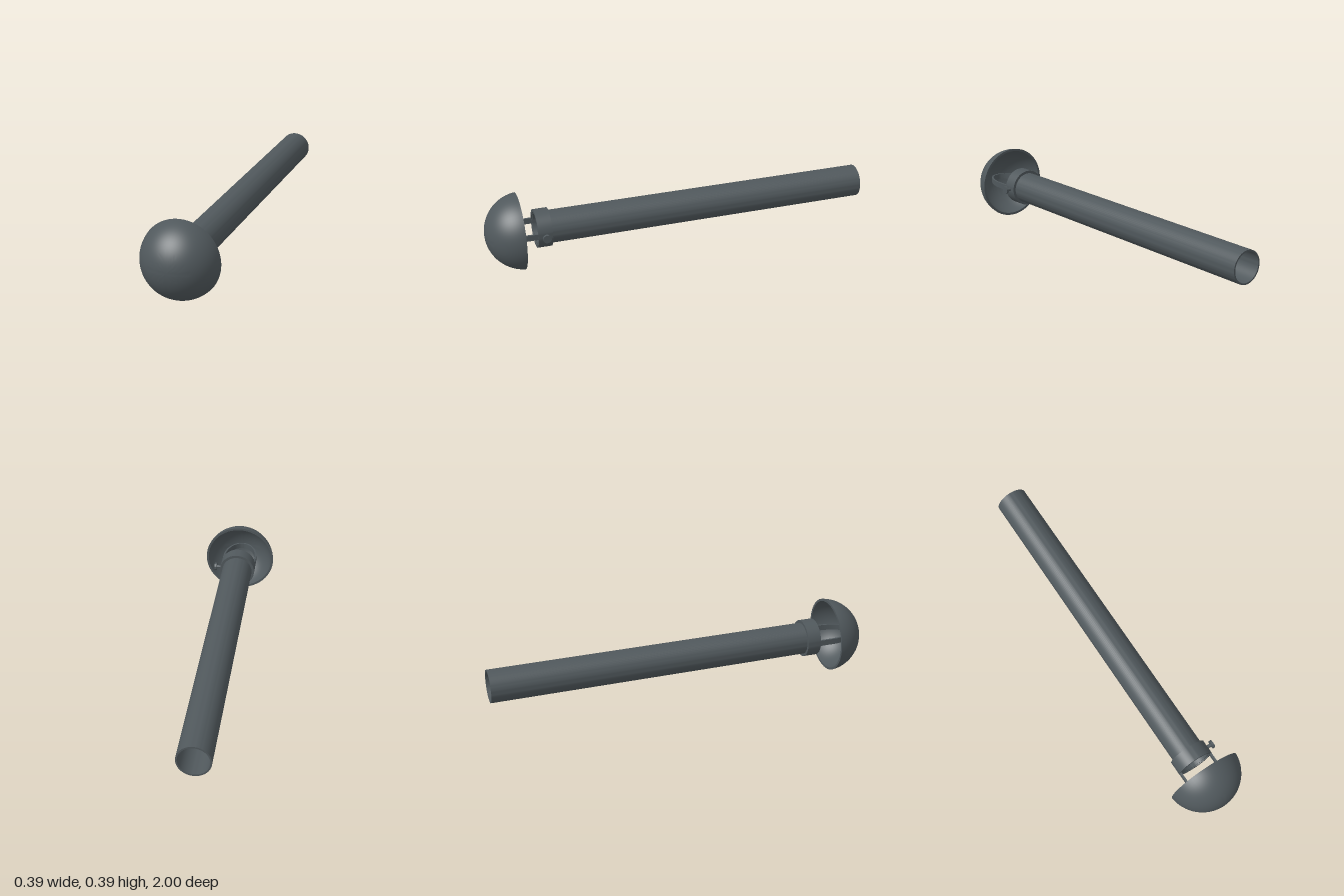
import * as THREE from 'three';
import { toCreasedNormals } from 'three/addons/utils/BufferGeometryUtils.js';

const CY = 0.193; // height of the pipe axis
const material = new THREE.MeshStandardMaterial({ color: 0x50585c, side: THREE.DoubleSide });

function addMesh(group, name, geometry) {
  const mesh = new THREE.Mesh(toCreasedNormals(geometry, 0.6), material);
  mesh.name = name;
  group.add(mesh);
  return mesh;
}

// Surface of revolution about the z axis from [radius, z] points
function turned(profile, segments = 64) {
  const points = profile.map(([r, z]) => new THREE.Vector2(r, z));
  return new THREE.LatheGeometry(points, segments).rotateX(Math.PI / 2);
}

// Hollow tube between two z positions
function sleeve(outer, inner, z0, z1) {
  return turned([[inner, z0], [outer, z0], [outer, z1], [inner, z1], [inner, z0]]);
}

// Points of a spherical cap from rim to crown
function capArc(rim, z0, z1, steps = 20) {
  const h = z1 - z0;
  const R = (rim * rim + h * h) / (2 * h);
  const start = Math.acos((R - h) / R);
  return Array.from({ length: steps + 1 }, (_, i) => {
    const a = start * (1 - i / steps);
    return [Math.max(R * Math.sin(a), 0), z1 - R + R * Math.cos(a)];
  });
}

export function createModel() {
  const model = new THREE.Group();
  model.name = 'ventPipeWithCowl';
  const body = new THREE.Group();
  body.name = 'body';
  body.position.y = CY;
  model.add(body);

  // Long open pipe and the clamp collar at its front end
  addMesh(body, 'pipe', sleeve(0.083, 0.075, -1, 0.745));
  addMesh(body, 'collar', sleeve(0.097, 0.083, 0.678, 0.75));

  // Hollow domed cap
  const outer = capArc(0.193, 0.825, 1);
  const inner = capArc(0.181, 0.825, 0.985).reverse();
  addMesh(body, 'domeCap', turned([...outer, ...inner, outer[0]]));

  // Hoop strap: straight arms from the collar, joined by an arch inside the dome
  const strap = new THREE.Shape();
  strap.moveTo(0.095, 0.7);
  strap.lineTo(0.095, 0.82);
  strap.absellipse(0, 0.82, 0.095, 0.162, 0, Math.PI, false);
  strap.lineTo(-0.095, 0.7);
  strap.lineTo(-0.085, 0.7);
  strap.lineTo(-0.085, 0.82);
  strap.absellipse(0, 0.82, 0.085, 0.152, Math.PI, 0, true);
  strap.lineTo(0.085, 0.7);
  const strapGeometry = new THREE.ExtrudeGeometry(strap, { depth: 0.03, bevelEnabled: false, curveSegments: 24 });
  strapGeometry.translate(0, 0, -0.015).rotateX(Math.PI / 2);
  addMesh(body, 'strap', strapGeometry);

  // Clamp screw on the side of the collar
  const screw = new THREE.Group();
  screw.name = 'clampScrew';
  screw.position.z = 0.713;
  body.add(screw);
  for (const [name, radius, x0, x1] of [['screwShank', 0.009, 0.08, 0.122], ['screwHead', 0.021, 0.119, 0.131]]) {
    const geometry = new THREE.CylinderGeometry(radius, radius, x1 - x0, 24).rotateZ(Math.PI / 2);
    addMesh(screw, name, geometry).position.x = (x0 + x1) / 2;
  }
  return model;
}
